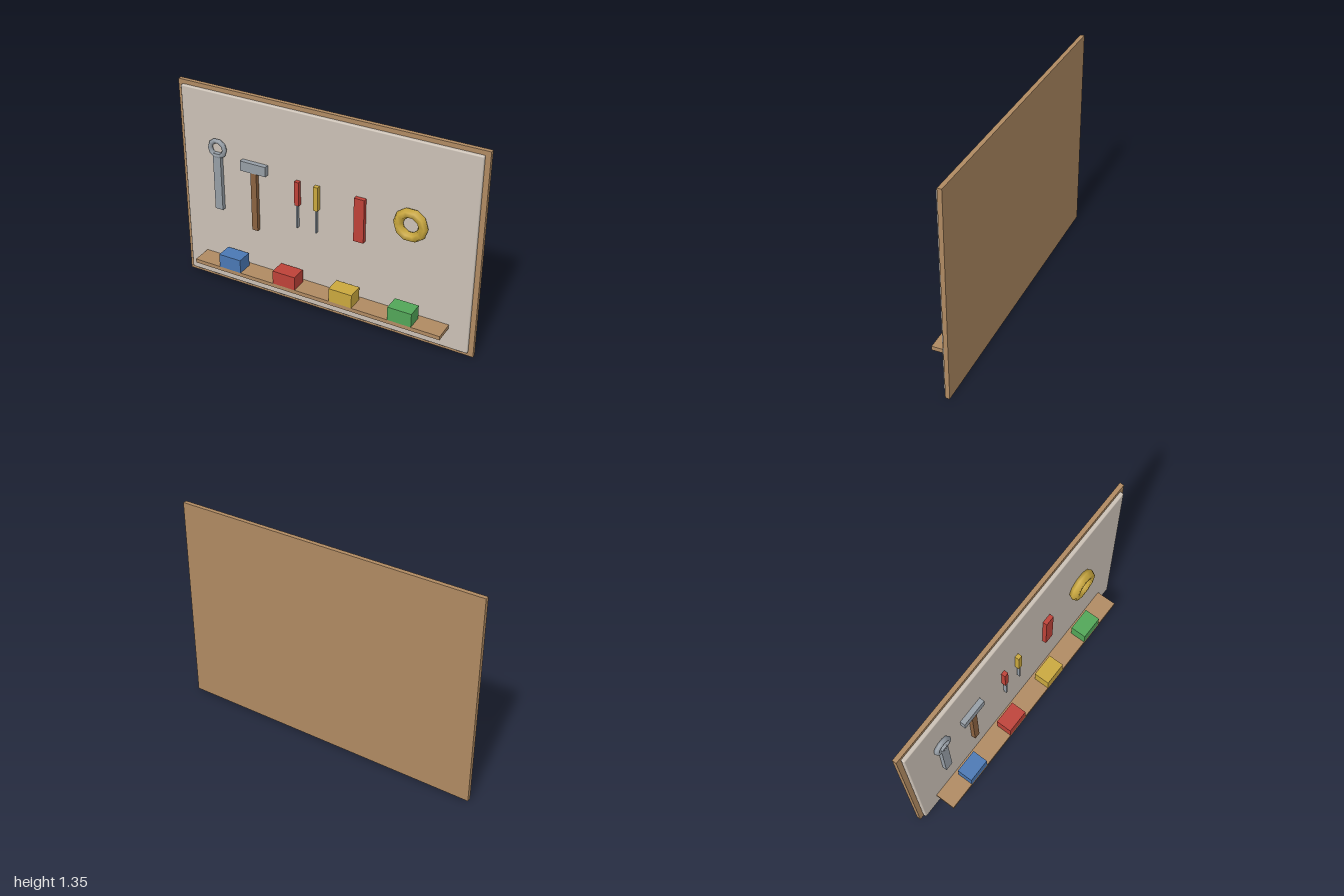
import * as THREE from 'three';
import { RoundedBoxGeometry } from 'three/addons/geometries/RoundedBoxGeometry.js';

function material(name, color) {
  const m = new THREE.MeshStandardMaterial({ color });
  m.name = name;
  return m;
}

export function createModel() {
  const model = new THREE.Group();
  model.name = 'toolBoard';

  const wood = material('wood', 0xb08a62);
  const darkWood = material('darkWood', 0x8b6240);
  const panelGrey = material('panelGrey', 0xcbc1b6);
  const steel = material('steel', 0x969ea6);
  const red = material('red', 0xbe4238);
  const yellow = material('yellow', 0xcaa83e);
  const blue = material('blue', 0x4a78b4);
  const green = material('green', 0x52a658);

  function add(parent, name, geometry, mat, x, y, z) {
    const mesh = new THREE.Mesh(geometry, mat);
    mesh.name = name;
    mesh.position.set(x, y, z);
    parent.add(mesh);
    return mesh;
  }

  // Box given by its limits on each axis
  function box(parent, name, mat, [x0, x1], [y0, y1], [z0, z1]) {
    const geometry = new THREE.BoxGeometry(x1 - x0, y1 - y0, z1 - z0);
    return add(parent, name, geometry, mat, (x0 + x1) / 2, (y0 + y1) / 2, (z0 + z1) / 2);
  }

  function group(name) {
    const g = new THREE.Group();
    g.name = name;
    model.add(g);
    return g;
  }

  // Board and its softly rounded front panel
  const toolDepth = [-0.04, -0.0125];
  box(model, 'backboard', wood, [-1, 1], [0, 1.35], [-0.091, -0.064]);
  add(model, 'frontPanel', new RoundedBoxGeometry(1.94, 1.295, 0.026, 2, 0.008),
    panelGrey, 0, 0.677, -0.053);

  // Shelf with storage bins
  box(model, 'shelf', wood, [-0.845, 0.845], [0.17, 0.196], [-0.04, 0.091]);
  [blue, red, yellow, green].forEach((mat, i) => {
    const x = -0.585 + i * 0.39;
    box(model, 'bin' + (i + 1), mat, [x - 0.077, x + 0.077], [0.196, 0.287], [-0.012, 0.091]);
  });

  // Ring wrench
  const wrench = group('wrench');
  box(wrench, 'wrenchHandle', steel, [-0.743, -0.689], [0.548, 0.933], toolDepth);
  add(wrench, 'wrenchRing', new THREE.TorusGeometry(0.051, 0.016, 6, 10),
    steel, -0.716, 0.964, -0.026);

  // Hammer
  const hammer = group('hammer');
  box(hammer, 'hammerHandle', darkWood, [-0.476, -0.436], [0.47, 0.87], toolDepth);
  box(hammer, 'hammerHead', steel, [-0.545, -0.368], [0.866, 0.931], [-0.04, -0.008]);

  // Screwdrivers
  [[red, -0.158], [yellow, -0.029]].forEach(([mat, x], i) => {
    const driver = group('screwdriver' + (i + 1));
    box(driver, 'screwdriverHandle', mat, [x - 0.0145, x + 0.0145], [0.727, 0.885], toolDepth);
    box(driver, 'screwdriverShaft', steel, [x - 0.005, x + 0.005], [0.573, 0.727], [-0.036, -0.015]);
  });

  // Red block tool and tape roll
  box(model, 'blockTool', red, [0.224, 0.29], [0.598, 0.885], toolDepth);
  add(model, 'tapeRoll', new THREE.TorusGeometry(0.078, 0.031, 6, 10),
    yellow, 0.583, 0.808, -0.016);

  return model;
}
